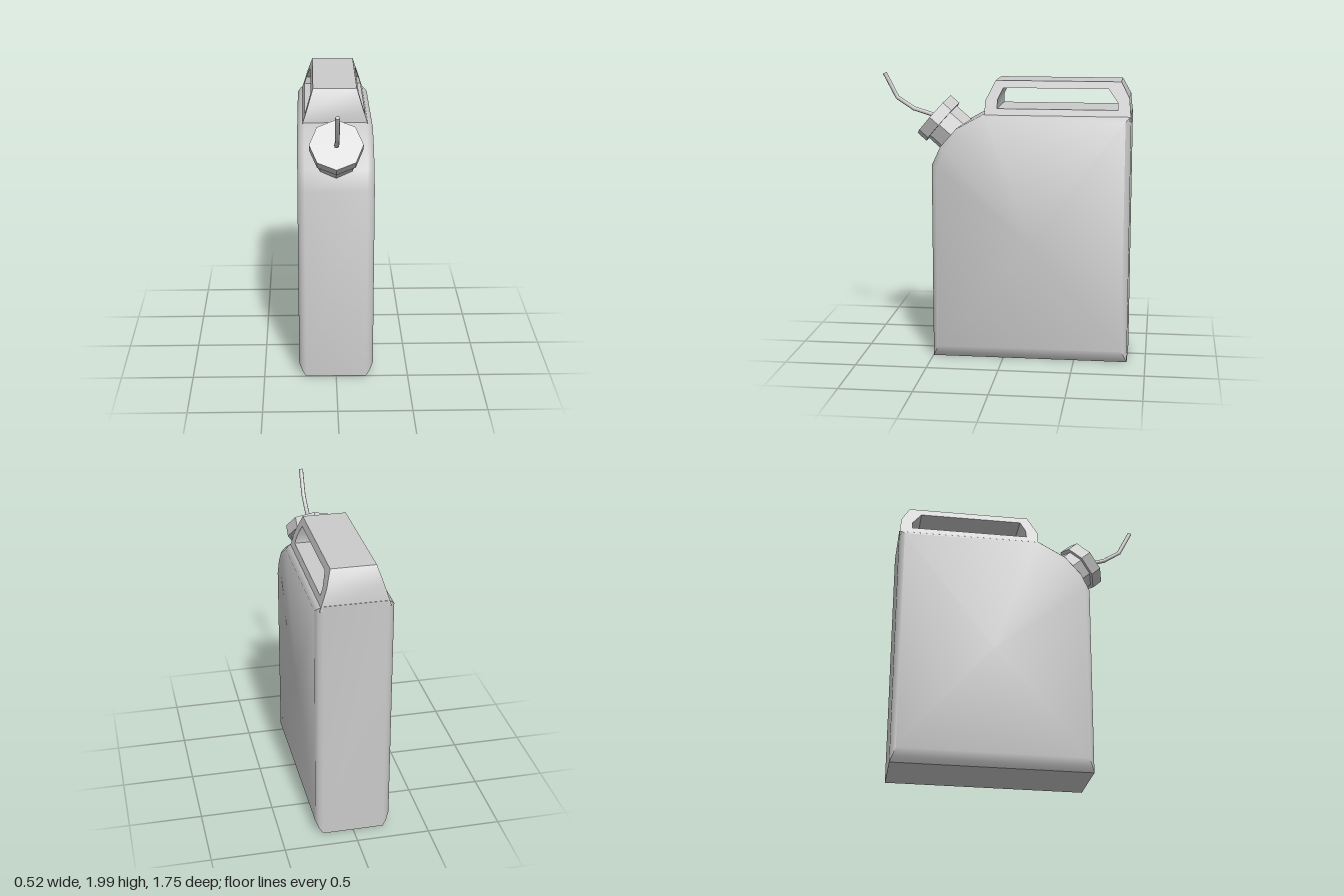
import * as THREE from 'three';
import { toCreasedNormals } from 'three/addons/utils/BufferGeometryUtils.js';

const grey = new THREE.MeshStandardMaterial({ color: 0xcccccc });
const faceted = new THREE.MeshStandardMaterial({ color: 0xcccccc, flatShading: true });

function addMesh(parent, name, geometry, material = grey) {
  const mesh = new THREE.Mesh(geometry, material);
  mesh.name = name;
  parent.add(mesh);
  return mesh;
}

// Body: side profile (z, y) carried across x, inset towards both flat sides
function bodyGeometry() {
  const outer = [[0.497, 0], [0.497, 1.37], [0.437, 1.5], [0.327, 1.625], [0.128, 1.735], [-0.872, 1.735], [-0.872, 0]];
  const inner = [[0.457, 0.085], [0.457, 1.36], [0.4, 1.48], [0.305, 1.59], [0.12, 1.695], [-0.835, 1.695], [-0.835, 0.085]];
  const rings = [[-0.258, 1], [-0.235, 0.4], [-0.21, 0], [0.21, 0], [0.235, 0.4], [0.258, 1]];
  const n = outer.length;
  const positions = [], index = [];
  for (const [x, inset] of rings) {
    outer.forEach(([z, y], i) => positions.push(
      x, THREE.MathUtils.lerp(y, inner[i][1], inset), THREE.MathUtils.lerp(z, inner[i][0], inset)));
  }
  for (let r = 0; r < rings.length - 1; r++) {
    for (let i = 0; i < n; i++) {
      const a = r * n + i, b = r * n + (i + 1) % n;
      index.push(a, a + n, b + n, a, b + n, b);
    }
  }
  // flat sides, as fans around a centre point
  const left = positions.length / 3, last = (rings.length - 1) * n;
  positions.push(-0.258, 0.85, -0.19, 0.258, 0.85, -0.19);
  for (let i = 0; i < n; i++) {
    const j = (i + 1) % n;
    index.push(left, i, j, left + 1, last + j, last + i);
  }
  const geometry = new THREE.BufferGeometry();
  geometry.setAttribute('position', new THREE.Float32BufferAttribute(positions, 3));
  geometry.setIndex(index);
  return toCreasedNormals(geometry, 0.85);
}

// Handle: outline with a grip opening, narrowing towards the top
function handleGeometry() {
  const toPoints = list => list.map(([z, y]) => new THREE.Vector2(z, y));
  const shape = new THREE.Shape(toPoints([
    [0.127, 1.7], [0.125, 1.82], [0.058, 1.957], [-0.8, 1.957], [-0.858, 1.85], [-0.872, 1.7]]));
  shape.holes.push(new THREE.Path(toPoints([
    [0.042, 1.77], [0.04, 1.83], [0.003, 1.908], [-0.715, 1.908], [-0.78, 1.82], [-0.78, 1.77]])));
  const geometry = new THREE.ExtrudeGeometry(shape, { depth: 2, bevelEnabled: false });
  geometry.translate(0, 0, -1).rotateY(-Math.PI / 2);
  const p = geometry.attributes.position;
  for (let i = 0; i < p.count; i++) {
    p.setX(i, p.getX(i) * (0.222 - (p.getY(i) - 1.73) * 0.32));
  }
  return toCreasedNormals(geometry, 0.6);
}

// Spout: thin bent tube with one ring per path point
function addSpout(parent) {
  const path = [[1.69, 0.5], [1.738, 0.657], [1.815, 0.774], [1.985, 0.862]]
    .map(([y, z]) => new THREE.Vector3(0, y, z));
  const curve = new THREE.CatmullRomCurve3(path);
  curve.getPointAt = curve.getPoint;
  curve.getTangentAt = curve.getTangent;
  const spout = new THREE.Group();
  spout.name = 'spout';
  addMesh(spout, 'spoutTube', new THREE.TubeGeometry(curve, path.length - 1, 0.015, 8));
  const tip = addMesh(spout, 'spoutTip', new THREE.CircleGeometry(0.015, 8));
  tip.position.copy(path[3]);
  tip.lookAt(path[3].clone().add(curve.getTangent(1)));
  parent.add(spout);
}

export function createModel() {
  const model = new THREE.Group();
  model.name = 'jerryCan';
  addMesh(model, 'body', bodyGeometry());
  addMesh(model, 'handle', handleGeometry());

  // Eight-sided neck and screw cap, tilted forward
  const opening = new THREE.Group();
  opening.name = 'opening';
  opening.position.set(0, 1.7, 0.514);
  opening.rotation.x = 0.85;
  const cap = addMesh(opening, 'cap', new THREE.CylinderGeometry(0.18, 0.18, 0.082, 8), faceted);
  cap.position.y = -0.041;
  const neck = addMesh(opening, 'neck', new THREE.CylinderGeometry(0.152, 0.152, 0.17, 8), faceted);
  neck.position.y = -0.155;
  model.add(opening);

  addSpout(model);
  return model;
}
